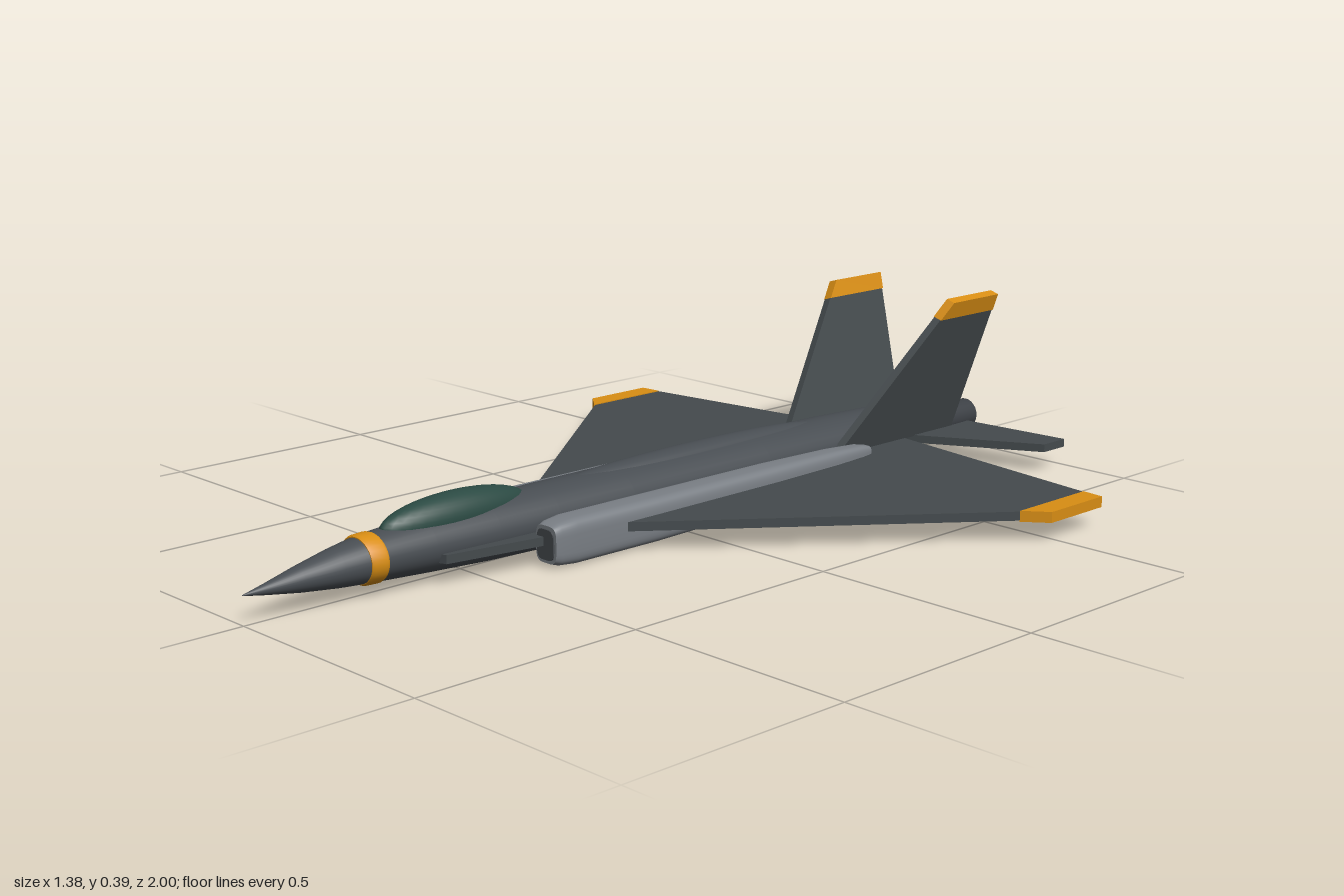
import * as THREE from 'three';

const mat = (name, color, side = THREE.FrontSide) => {
  const m = new THREE.MeshStandardMaterial({ color, side });
  m.name = name;
  return m;
};

// Skin through [z, centreY, halfWidth, halfHeight, centreX] rings, running from front to back.
// power 2 gives ellipses, higher values give rounded rectangles.
function loft(stations, power = 2, segments = 32) {
  const pos = [], idx = [];
  const bend = (v) => Math.sign(v) * Math.pow(Math.abs(v), 2 / power);
  const ring = ([z, cy, rx, ry, cx = 0]) => {
    for (let j = 0; j < segments; j++) {
      const a = (j / segments) * Math.PI * 2;
      pos.push(cx + rx * bend(Math.cos(a)), cy + ry * bend(Math.sin(a)), z);
    }
  };
  stations.forEach(ring);
  for (let i = 0; i < stations.length - 1; i++) {
    for (let j = 0; j < segments; j++) {
      const k = (j + 1) % segments;
      const a = i * segments + j, b = i * segments + k;
      const c = a + segments, d = b + segments;
      idx.push(a, c, b, b, c, d);
    }
  }
  // End caps have their own vertices so the rims stay sharp
  [stations[0], stations[stations.length - 1]].forEach((s, end) => {
    const start = pos.length / 3;
    ring(s);
    pos.push(s[4] || 0, s[1], s[0]);
    const centre = start + segments;
    for (let j = 0; j < segments; j++) {
      const a = start + j, b = start + ((j + 1) % segments);
      if (end === 0) idx.push(centre, a, b);
      else idx.push(centre, b, a);
    }
  });
  const g = new THREE.BufferGeometry();
  g.setAttribute('position', new THREE.Float32BufferAttribute(pos, 3));
  g.setIndex(idx);
  g.computeVertexNormals();
  return g;
}

function plate(points, thickness) {
  const shape = new THREE.Shape(points.map(([u, v]) => new THREE.Vector2(u, v)));
  return new THREE.ExtrudeGeometry(shape, { depth: thickness, bevelEnabled: false });
}

// Horizontal plate from an [x, z] outline
const flatPlate = (side, outline, y, t) =>
  plate(outline.map(([x, z]) => [x * side, -z]), t).rotateX(-Math.PI / 2).translate(0, y - t / 2, 0);

// Upright plate from a [z, y] outline
const uprightPlate = (outline, t) =>
  plate(outline.map(([z, y]) => [-z, y]), t).rotateY(Math.PI / 2).translate(-t / 2, 0, 0);

export function createModel() {
  const model = new THREE.Group();
  model.name = 'jetAircraft';
  const hull = mat('hullGrey', 0x484d52);
  const wingGrey = mat('wingGrey', 0x444a4d);
  const ductGrey = mat('ductGrey', 0x7a7f85);
  const orange = mat('orangeTrim', 0xd98e14);
  const glass = mat('canopyGreen', 0x2b4a43);
  const metal = mat('nozzleGrey', 0x3c4045);
  const dark = mat('openingDark', 0x45494d);
  const exhaust = mat('exhaustPale', 0xbca99f);

  const add = (name, geometry, material, parent = model) => {
    const mesh = new THREE.Mesh(geometry, material);
    mesh.name = name;
    parent.add(mesh);
    return mesh;
  };

  // Body: nose cone, trim ring, fuselage
  add('noseCone', loft([
    [1, 0.064, 0.001, 0.001], [0.95, 0.065, 0.012, 0.011], [0.88, 0.068, 0.027, 0.025],
    [0.8, 0.072, 0.042, 0.038], [0.735, 0.075, 0.051, 0.046],
  ]), hull);
  add('noseRing', loft([
    [0.747, 0.075, 0.051, 0.046], [0.741, 0.075, 0.055, 0.049],
    [0.715, 0.075, 0.057, 0.05], [0.709, 0.075, 0.054, 0.048],
  ]), orange);
  add('fuselage', loft([
    [0.735, 0.075, 0.051, 0.046], [0.6, 0.076, 0.063, 0.055], [0.45, 0.075, 0.071, 0.062],
    [0.3, 0.074, 0.077, 0.065], [0.1, 0.073, 0.08, 0.066], [-0.3, 0.073, 0.08, 0.065],
    [-0.55, 0.073, 0.078, 0.061], [-0.75, 0.073, 0.073, 0.054], [-0.89, 0.072, 0.067, 0.047],
    [-0.91, 0.072, 0.06, 0.042],
  ]), hull);

  // Ellipsoids set into the upper hull
  const spine = add('spine', new THREE.SphereGeometry(1, 24, 16), hull);
  spine.scale.set(0.034, 0.022, 0.4);
  spine.position.set(0, 0.126, -0.13);
  const canopy = add('canopy', new THREE.SphereGeometry(1, 32, 20), glass);
  canopy.scale.set(0.045, 0.047, 0.18);
  canopy.position.set(0, 0.12, 0.51);

  for (const side of [1, -1]) {
    const name = (part) => (side > 0 ? 'left' : 'right') + part;

    // Intake duct with its mouth
    add(name('IntakeDuct'), loft([
      [0.375, 0.054, 0.03, 0.038, 0.113], [0.36, 0.054, 0.034, 0.043, 0.112],
      [0.32, 0.054, 0.038, 0.047, 0.111], [0.1, 0.053, 0.039, 0.047, 0.111],
      [-0.25, 0.056, 0.036, 0.044, 0.112], [-0.45, 0.06, 0.029, 0.037, 0.112],
      [-0.54, 0.063, 0.022, 0.029, 0.111], [-0.57, 0.064, 0.016, 0.022, 0.111],
    ].map(([z, y, rx, ry, x]) => [z, y, rx, ry, x * side]), 4, 40), ductGrey);
    add(name('IntakeMouth'), loft([
      [0.378, 0.054, 0.024, 0.031, 0.113 * side], [0.374, 0.054, 0.024, 0.031, 0.113 * side],
    ], 4, 40), dark);

    // Wing, its root extension and tip
    add(name('Strake'), flatPlate(side,
      [[0.045, 0.6], [0.073, 0.59], [0.112, 0.36], [0.112, 0.1], [0.045, 0.1]], 0.06, 0.018), wingGrey);
    add(name('Wing'), flatPlate(side,
      [[0.04, 0.32], [0.15, 0.19], [0.642, -0.44], [0.642, -0.652], [0.04, -0.738]], 0.06, 0.019), wingGrey);
    add(name('WingTip'), flatPlate(side,
      [[0.64, -0.435], [0.69, -0.475], [0.69, -0.645], [0.64, -0.65]], 0.06, 0.023), orange);

    // Tailplane
    add(name('Tailplane'), flatPlate(side,
      [[0.04, -0.738], [0.345, -0.91], [0.345, -0.984], [0.04, -0.96]], 0.062, 0.018), wingGrey);

    // Fin, leaning outward about its root
    const fin = new THREE.Group();
    fin.name = name('Fin');
    fin.position.set(0.083 * side, 0.09, 0);
    fin.rotation.z = -0.295 * side;
    model.add(fin);
    add(name('FinPanel'), uprightPlate(
      [[-0.5, -0.02], [-0.74, 0.28], [-0.923, 0.28], [-0.898, -0.02]], 0.018), wingGrey, fin);
    add(name('FinTip'), uprightPlate(
      [[-0.739, 0.279], [-0.77, 0.318], [-0.927, 0.318], [-0.924, 0.279]], 0.022), orange, fin);

    // Engine nozzle and glowing end
    const x = 0.045 * side;
    add(name('Nozzle'), loft([
      [-0.8, 0.077, 0.04, 0.04, x], [-0.93, 0.077, 0.04, 0.04, x], [-1, 0.077, 0.035, 0.035, x],
    ], 2, 24), metal);
    add(name('Exhaust'), loft([
      [-0.996, 0.077, 0.03, 0.03, x], [-1.002, 0.077, 0.03, 0.03, x],
    ], 2, 24), exhaust);
  }
  return model;
}
